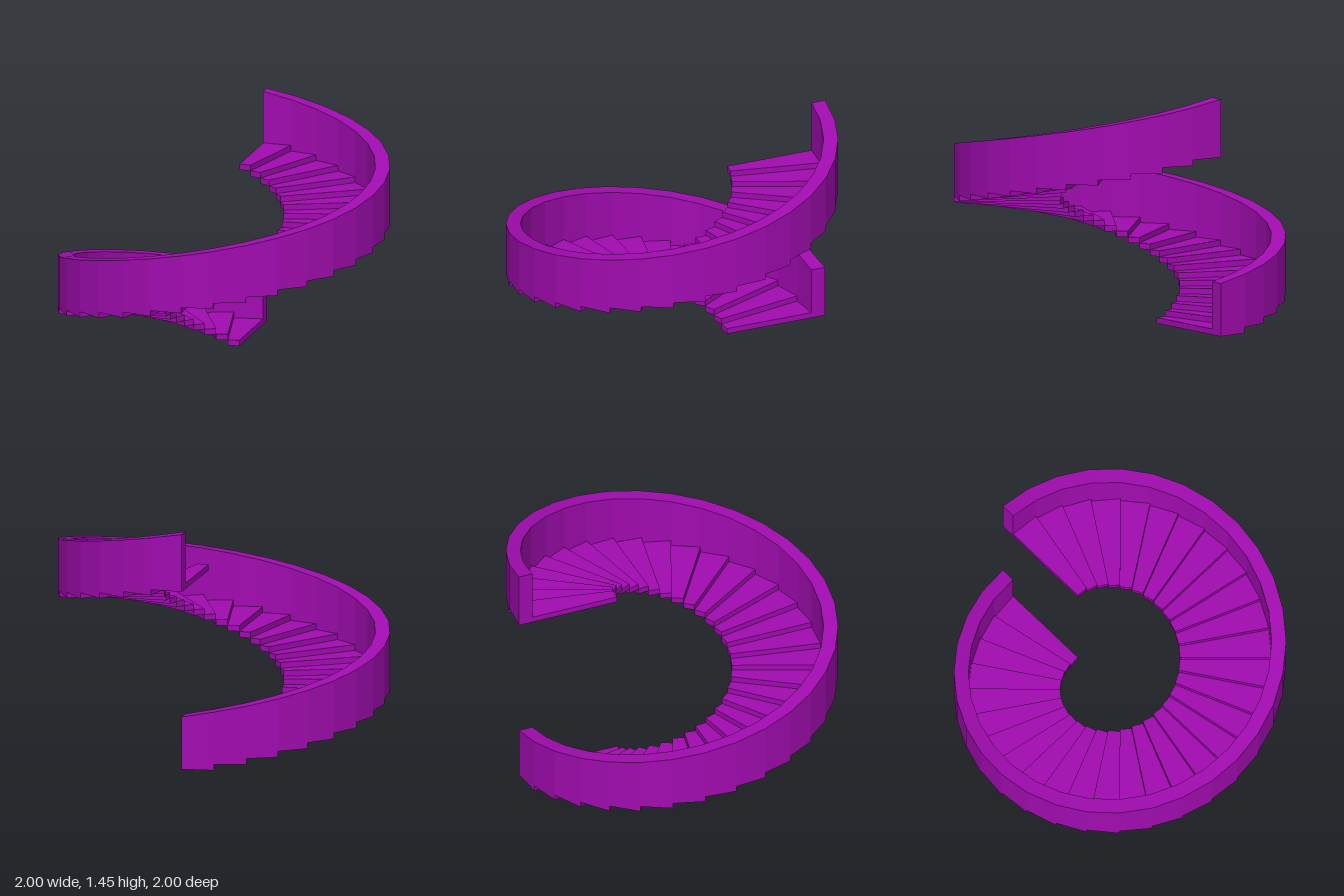
import * as THREE from 'three';
import { mergeGeometries } from 'three/addons/utils/BufferGeometryUtils.js';

const STEPS = 32, RISE = 0.0352;
const INNER = 0.36, WALL = 0.912, OUTER = 1;
const RAIL_START = 0.323, RAIL_RISE = 1.122 / STEPS;

// One wedge of the spiral, with a flat bottom and a top sloping from t0 to t1.
function wedge(k, r0, r1, bottom, t0, t1, capStart = true, capEnd = true) {
  const angle = (i) => Math.PI / 4 + (i * 2 * Math.PI) / STEPS;
  const a0 = angle(k), a1 = angle(k + 1);
  const corners = [[r0, a0, t0], [r1, a0, t0], [r1, a1, t1], [r0, a1, t1]];
  const pos = [];
  for (const top of [false, true]) {
    for (const [r, a, t] of corners) pos.push(r * Math.cos(a), top ? t : bottom, -r * Math.sin(a));
  }
  const index = [4, 5, 6, 4, 6, 7, 0, 2, 1, 0, 3, 2];
  for (let i = 0; i < 4; i++) {
    if ((i === 0 && !capStart) || (i === 2 && !capEnd)) continue;
    const j = (i + 1) % 4;
    index.push(i, j, j + 4, i, j + 4, i + 4);
  }
  const g = new THREE.BufferGeometry();
  g.setAttribute('position', new THREE.Float32BufferAttribute(pos, 3));
  g.setIndex(index);
  const flat = g.toNonIndexed();
  flat.computeVertexNormals();
  return flat;
}

export function createModel() {
  const model = new THREE.Group();
  model.name = 'spiralStaircase';
  const purple = new THREE.MeshStandardMaterial({ color: 0xa10cb0 });
  purple.name = 'purple';

  // Treads: one wedge per step, each a riser higher than the last
  const treads = new THREE.Group();
  treads.name = 'treads';
  const wallParts = [];
  for (let k = 0; k < STEPS; k++) {
    const top = (k + 1) * RISE;
    const tread = new THREE.Mesh(wedge(k, INNER, OUTER, k * RISE, top, top), purple);
    tread.name = 'tread' + (k + 1);
    treads.add(tread);
    wallParts.push(wedge(k, WALL, OUTER, top, RAIL_START + k * RAIL_RISE,
      RAIL_START + (k + 1) * RAIL_RISE, k === 0, k === STEPS - 1));
  }

  // Solid outer balustrade with a sloping top, standing on the treads
  const wall = new THREE.Mesh(mergeGeometries(wallParts), purple);
  wall.name = 'outerBalustrade';

  model.add(treads, wall);
  return model;
}
